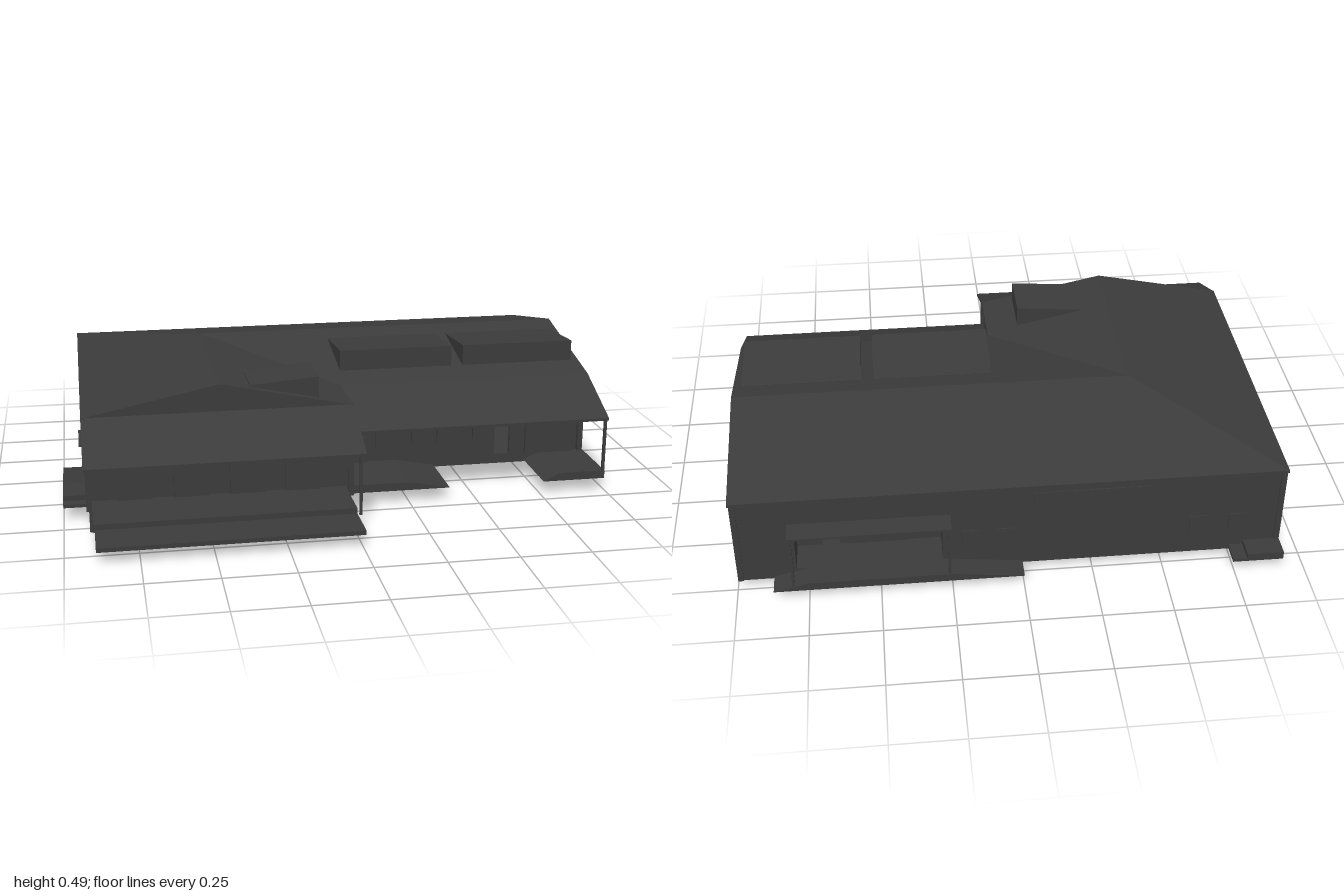
import * as THREE from 'three';

export function createModel() {
  const model = new THREE.Group();
  const dark = new THREE.MeshStandardMaterial({ color: 0x3b3b3b, flatShading: true });
  const thin = new THREE.MeshStandardMaterial({ color: 0x3b3b3b, flatShading: true, side: THREE.DoubleSide });

  const add = (name, geometry, material = dark) => {
    const mesh = new THREE.Mesh(geometry, material);
    mesh.name = name;
    model.add(mesh);
    return mesh;
  };

  // Box given by its limits on each axis
  const box = (name, x0, x1, y0, y1, z0, z1) => {
    const g = new THREE.BoxGeometry(x1 - x0, y1 - y0, z1 - z0);
    g.translate((x0 + x1) / 2, (y0 + y1) / 2, (z0 + z1) / 2);
    return add(name, g);
  };

  // Flat convex panel from its corners
  const panel = (name, ...points) => {
    const tris = [];
    for (let i = 1; i < points.length - 1; i++) tris.push(...points[0], ...points[i], ...points[i + 1]);
    const g = new THREE.BufferGeometry();
    g.setAttribute('position', new THREE.Float32BufferAttribute(tris, 3));
    g.computeVertexNormals();
    return add(name, g, thin);
  };

  // Wall with its outer face at the given place: outline is [x or z, y], door is an optional opening
  const sides = { front: [0, 1], back: [Math.PI, -1], right: [Math.PI / 2, -1], left: [-Math.PI / 2, 1] };
  const wall = (name, side, at, outline, door) => {
    const [angle, sign] = sides[side];
    const vec = (list) => list.map(([u, y]) => new THREE.Vector2(u * sign, y));
    const shape = new THREE.Shape(vec(outline));
    if (door) {
      const [a, b, y0, y1] = door;
      shape.holes.push(new THREE.Path(vec([[a, y0], [b, y0], [b, y1], [a, y1]])));
    }
    const g = new THREE.ExtrudeGeometry(shape, { depth: 0.015, bevelEnabled: false });
    g.translate(0, 0, -0.015);
    g.rotateY(angle);
    if (side === 'front' || side === 'back') g.translate(0, 0, at);
    else g.translate(at, 0, 0);
    return add(name, g);
  };

  // Prism along x from a [z, y] profile
  const prismX = (name, x0, x1, profile) => {
    const shape = new THREE.Shape(profile.map(([z, y]) => new THREE.Vector2(-z, y)));
    const g = new THREE.ExtrudeGeometry(shape, { depth: x1 - x0, bevelEnabled: false });
    g.rotateY(Math.PI / 2);
    g.translate(x0, 0, 0);
    return add(name, g);
  };

  // Prism along z from an [x, y] profile
  const prismZ = (name, z0, z1, profile) => {
    const shape = new THREE.Shape(profile.map(([x, y]) => new THREE.Vector2(x, y)));
    const g = new THREE.ExtrudeGeometry(shape, { depth: z1 - z0, bevelEnabled: false });
    g.translate(0, 0, z0);
    return add(name, g);
  };

  const base = 0.043, deck = 0.05, floor = 0.08, eave = 0.388, ridge = 0.488, low = 0.285;

  // Floor slabs of the main block and the wing
  box('mainFloor', -0.915, 0.99, base, floor, -0.75, 0.2);
  box('wingFloor', -0.915, 0.03, base, floor, 0.2, 0.445);

  // Walls
  wall('wingFrontWall', 'front', 0.445,
    [[-0.915, base], [0.03, base], [0.03, eave], [-0.44, ridge], [-0.915, eave]]);
  wall('wingSideWall', 'right', 0.03, [[0.2, base], [0.445, base], [0.445, eave], [0.2, eave]], [0.28, 0.34, floor, 0.19]);
  wall('frontWall', 'front', 0.2, [[0.03, base], [0.99, base], [0.99, eave], [0.03, eave]], [0.64, 0.7, floor, 0.19]);
  wall('gableWall', 'right', 0.99, [[0.2, base], [-0.75, base], [-0.75, eave], [-0.272, ridge], [0.2, eave]]);
  wall('backWall', 'back', -0.75, [[-0.915, base], [0.99, base], [0.99, eave], [-0.915, eave]], [0.28, 0.79, floor, 0.274]);
  wall('leftWall', 'left', -0.915, [[-0.75, base], [0.445, base], [0.445, eave], [-0.75, eave]], [0.28, 0.34, floor, 0.19]);

  // Main hipped roof, with the wing roof meeting it along a valley
  const peak = [-0.44, ridge, -0.272];
  const valley = [0.035, eave, 0.205];
  panel('backRoof', [1, eave, -0.757], [-0.925, eave, -0.757], peak, [1, ridge, -0.272]);
  panel('frontRoof', peak, valley, [1, eave, 0.205], [1, ridge, -0.272]);
  panel('wingLeftRoof', [-0.925, eave, -0.757], [-0.925, eave, 0.45], [-0.44, ridge, 0.45], peak);
  panel('wingRightRoof', peak, [-0.44, ridge, 0.45], [0.035, eave, 0.45], valley);

  // Steeper porch roofs
  const porchRoof = (name, x0, x1, z0, z1) => prismX(name, x0, x1,
    [[z0, eave], [z1, low], [z1, low - 0.01], [z0, eave - 0.01]]);
  porchRoof('galleryRoof', 0.035, 1, 0.205, 0.45);
  porchRoof('porchRoof', -0.925, 0.038, 0.445, 0.69);

  // Eave and gable trim
  box('backEave', -0.925, 1, 0.377, eave, -0.757, -0.745);
  box('leftEave', -0.925, -0.912, 0.377, eave, -0.757, 0.45);
  box('wingEave', 0.028, 0.037, 0.377, eave, 0.2, 0.45);
  prismX('gableTrim', 0.988, 1, [[-0.757, eave], [-0.272, ridge], [0.205, eave], [0.205, eave - 0.012],
    [-0.272, ridge - 0.012], [-0.757, eave - 0.012]]);

  // Roof dormers: two facing front, one facing sideways on the wing
  for (const [x0, x1] of [[0.055, 0.49], [0.535, 0.97]]) {
    prismX('dormer', x0, x1, [[0.09, 0.41], [0.09, 0.49], [-0.18, 0.47], [-0.18, 0.46]]);
  }
  prismZ('wingDormer', 0.225, 0.42, [[-0.083, 0.41], [-0.083, 0.49], [-0.33, 0.47], [-0.33, 0.46]]);

  // Wing porch: deck, wedge shaped ground and posts
  box('porchDeck', -0.9, 0.01, deck, floor, 0.445, 0.67);
  prismX('porchGround', -0.895, 0.01,
    [[0.45, 0.06], [0.83, 0.06], [0.83, 0.045], [0.75, 0.042], [0.68, 0.028], [0.45, 0]]);
  for (const x of [-0.905, 0.02]) box('porchPost', x - 0.005, x + 0.005, 0.06, 0.287, 0.676, 0.686);

  // Gallery decks with ramps
  prismZ('galleryRamp', 0.2, 0.45, [[0.03, deck], [0.4, deck], [0.25, floor], [0.03, floor]]);
  prismZ('cornerRamp', 0.2, 0.45, [[0.76, deck], [0.995, deck], [0.995, floor], [0.82, floor]]);
  box('galleryPost', 0.985, 0.995, floor, 0.285, 0.437, 0.447);

  // Corner piers
  for (const [x, z] of [[0.98, 0.205], [0.985, -0.745], [-0.91, -0.745], [-0.91, 0.44], [0.03, 0.44]]) {
    box('cornerPier', x - 0.01, x + 0.01, base, 0.38, z - 0.01, z + 0.01);
  }

  // Back entrance: ramp, canopy, posts and recessed lobby
  prismZ('backRamp', -0.83, -0.75, [[0, deck], [0.87, deck], [0.75, floor], [0.25, floor]]);
  box('backCanopy', 0.25, 0.81, 0.274, 0.282, -0.83, -0.75);
  for (const x of [0.26, 0.8]) box('canopyPost', x - 0.005, x + 0.005, 0.06, 0.275, -0.825, -0.815);
  panel('lobbyCeiling', [0.28, 0.274, -0.75], [0.79, 0.274, -0.75], [0.79, 0.274, -0.63], [0.28, 0.274, -0.63]);
  for (const x of [0.28, 0.79]) {
    panel('lobbySide', [x, floor, -0.75], [x, 0.274, -0.75], [x, 0.274, -0.63], [x, floor, -0.63]);
  }
  wall('lobbyBack', 'back', -0.63, [[0.28, 0.07], [0.79, 0.07], [0.79, 0.274], [0.28, 0.274]], [0.64, 0.7, floor, 0.19]);
  box('backStep', -0.92, -0.79, deck, floor, -0.83, -0.75);
  box('backLowerStep', -0.79, -0.74, deck, 0.062, -0.83, -0.75);

  // Left entrance: ramp, step and ledge over the door
  prismX('leftRamp', -1, -0.915, [[-0.01, deck], [0.25, floor], [0.38, floor], [0.38, deck]]);
  box('leftStep', -1, -0.915, deck, 0.062, 0.38, 0.42);
  box('leftLedge', -0.935, -0.91, 0.275, 0.283, 0.25, 0.42);

  // Windows and glazing as shallow panels on the walls
  const e = 0.012, s = 0.004;
  for (const x of [-0.81, -0.61, -0.41, -0.21]) box('wingWindow', x, x + 0.125, floor, 0.225, 0.445 - e, 0.445 + e);
  for (const x of [0.17, 0.31, 0.41, 0.55]) box('frontWindow', x, x + 0.06, 0.14, 0.2, 0.2 - e, 0.2 + e);
  box('frontDoor', 0.07, 0.135, floor, 0.18, 0.2 - e, 0.2 + e);
  box('frontGlazing', 0.76, 0.95, floor, 0.225, 0.2 - e, 0.2 + e);
  for (const [z0, z1, y0] of [[0.22, 0.28, floor], [0.34, 0.44, floor], [0.28, 0.34, 0.19]]) {
    box('wingSideGlazing', 0.03 - e, 0.03 + e, y0, 0.225, z0, z1);
  }
  for (const z of [0.11, -0.03, -0.58, -0.7]) box('gableWindow', 0.99 - s, 0.99 + s, 0.13, 0.205, z, z + 0.06);
  for (const z of [-0.58, -0.4]) box('leftWindow', -0.915 - s, -0.915 + s, 0.13, 0.205, z, z + 0.06);
  box('leftHighWindow', -0.915 - s, -0.915 + s, 0.32, 0.355, -0.3, 0.13);
  for (const x of [-0.79, -0.65, 0.03, 0.15]) box('backWindow', x, x + 0.06, 0.13, 0.205, -0.75 - s, -0.75 + s);
  box('lobbyWindow', 0.4, 0.6, floor, 0.225, -0.63 - s, -0.63 + s);
  box('backHighWindow', -0.45, -0.04, 0.32, 0.355, -0.75 - s, -0.75 + s);

  return model;
}
